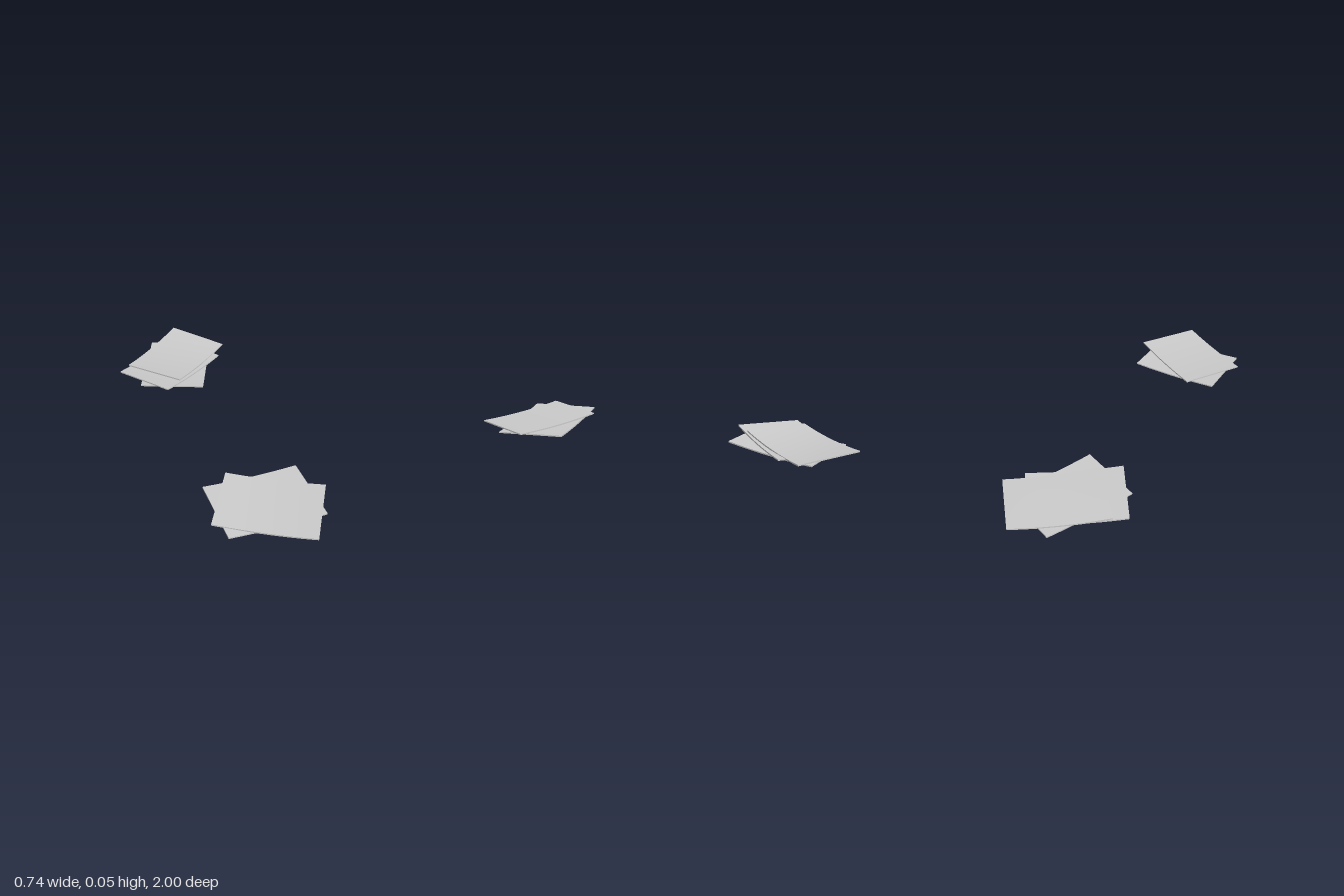
import * as THREE from 'three';

const LENGTH = 0.483, WIDTH = 0.355, THICKNESS = 0.007;
const material = new THREE.MeshStandardMaterial({ color: 0xcccccc });

// One thin, slightly warped card. Corner heights run around the card from
// (-length, -width); mid is the height of the top surface at its centre.
function makeCard({ name, x, z, yaw, corners, mid }) {
  const geometry = new THREE.BoxGeometry(LENGTH, THICKNESS, WIDTH, 20, 1, 12);
  const p = geometry.attributes.position;
  const [a, b, c, d] = corners;
  const sag = (a + b + c + d) / 4 - mid;
  for (let i = 0; i < p.count; i++) {
    const u = p.getX(i) / LENGTH + 0.5;
    const v = p.getZ(i) / WIDTH + 0.5;
    const plane = (a * (1 - u) + b * u) * (1 - v) + (d * (1 - u) + c * u) * v;
    const dip = sag * (1 - (2 * u - 1) ** 2);
    p.setY(i, p.getY(i) - THICKNESS / 2 + plane - dip);
  }
  geometry.computeVertexNormals();
  const card = new THREE.Mesh(geometry, material);
  card.name = name;
  card.position.set(x, 0, z);
  card.rotation.y = yaw;
  return card;
}

function makePile(name, cards) {
  const pile = new THREE.Group();
  pile.name = name;
  cards.forEach((card) => pile.add(makeCard(card)));
  return pile;
}

export function createModel() {
  const model = new THREE.Group();
  model.name = 'cardPiles';

  // Three cards fanned out at the back
  model.add(makePile('backPile', [
    { name: 'backBottomCard', x: -0.035, z: -0.628, yaw: 1.223, corners: [0.012, 0.014, 0.012, 0.02], mid: 0.007 },
    { name: 'backMiddleCard', x: -0.073, z: -0.628, yaw: 0.66, corners: [0.023, 0.026, 0.028, 0.038], mid: 0.017 },
    { name: 'backTopCard', x: -0.015, z: -0.705, yaw: 0.756, corners: [0.03, 0.05, 0.037, 0.045], mid: 0.027 },
  ]));

  // Two crossed cards at the front
  model.add(makePile('frontPile', [
    { name: 'frontBottomCard', x: 0.063, z: 0.678, yaw: 0.062, corners: [0.03, 0.033, 0.02, 0.02], mid: 0.018 },
    { name: 'frontTopCard', x: 0.075, z: 0.728, yaw: -0.473, corners: [0.045, 0.048, 0.03, 0.03], mid: 0.029 },
  ]));

  return model;
}
